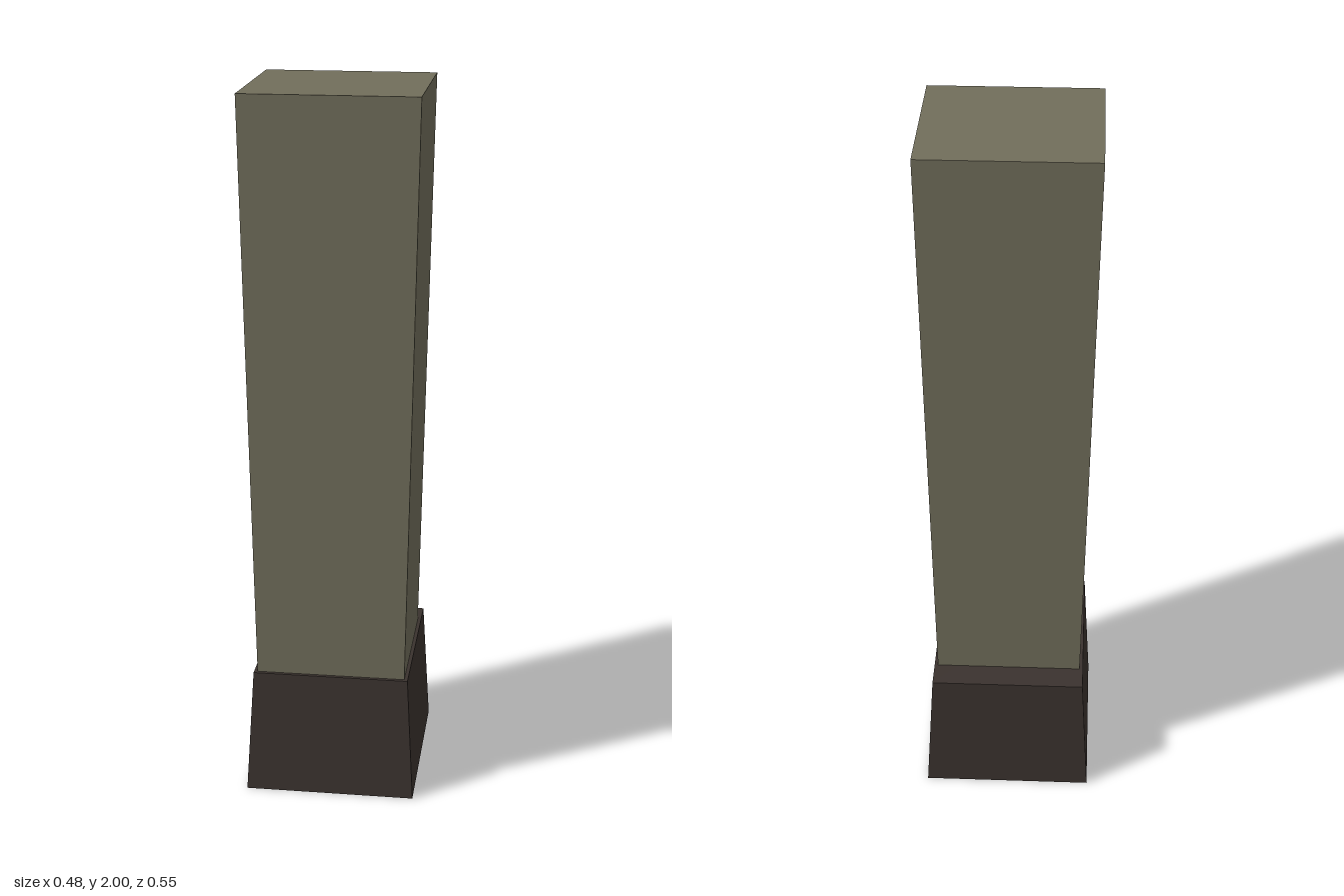
import * as THREE from 'three';

// Box whose top and bottom rectangles differ: half sizes [x, z] at each end.
function taperedBox(name, y0, y1, bottom, top, color) {
  const geometry = new THREE.BoxGeometry(2, y1 - y0, 2);
  geometry.translate(0, (y0 + y1) / 2, 0);
  const p = geometry.attributes.position;
  for (let i = 0; i < p.count; i++) {
    const [hx, hz] = p.getY(i) > (y0 + y1) / 2 ? top : bottom;
    p.setX(i, p.getX(i) * hx);
    p.setZ(i, p.getZ(i) * hz);
  }
  geometry.computeVertexNormals();
  const mesh = new THREE.Mesh(geometry, new THREE.MeshStandardMaterial({ color, flatShading: true }));
  mesh.name = name;
  return mesh;
}

export function createModel() {
  const model = new THREE.Group();
  model.name = 'pillar';

  // Dark foot, narrowing slightly upwards
  model.add(taperedBox('base', 0, 0.36, [0.24, 0.275], [0.22, 0.255], 0x3a322e));

  // Tall shaft, widening upwards and set towards the front of the base
  const shaft = taperedBox('shaft', 0.36, 2, [0.21, 0.209], [0.24, 0.239], 0x716e5b);
  shaft.position.z = 0.036;
  model.add(shaft);

  return model;
}
